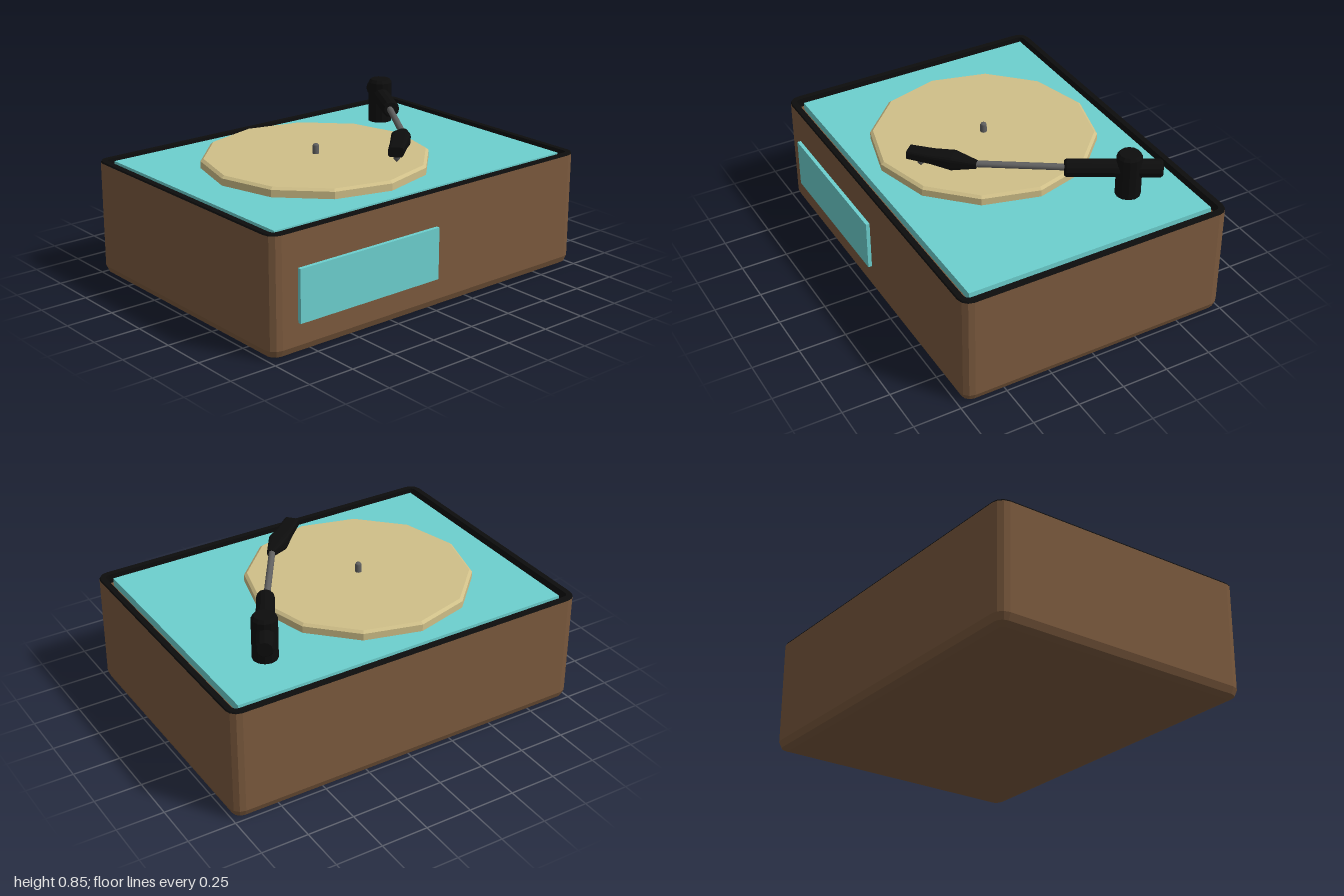
import * as THREE from 'three';

const mat = (name, color, flatShading = true) => {
  const m = new THREE.MeshStandardMaterial({ color, flatShading });
  m.name = name;
  return m;
};

// Rounded rectangle in the xz plane at height y, counterclockwise from above
function rectRing(hx, hz, r, y) {
  const pts = [];
  [[1, 1], [-1, 1], [-1, -1], [1, -1]].forEach(([sx, sy], c) => {
    for (let i = 0; i < 4; i++) {
      const a = (c + i / 3) * Math.PI / 2;
      pts.push([sx * (hx - r) + r * Math.cos(a), y, -(sy * (hz - r) + r * Math.sin(a))]);
    }
  });
  return pts;
}

// Skin stacked rings, optionally closing both ends
function loft(rings, caps = true) {
  const pos = [];
  const tri = (a, b, c) => pos.push(...a, ...b, ...c);
  const n = rings[0].length;
  for (let k = 0; k < rings.length - 1; k++) {
    for (let i = 0; i < n; i++) {
      const j = (i + 1) % n;
      tri(rings[k][i], rings[k][j], rings[k + 1][j]);
      tri(rings[k][i], rings[k + 1][j], rings[k + 1][i]);
    }
  }
  if (caps) {
    const lo = rings[0], hi = rings[rings.length - 1];
    for (let i = 1; i < n - 1; i++) {
      tri(lo[0], lo[i + 1], lo[i]);
      tri(hi[0], hi[i], hi[i + 1]);
    }
  }
  const g = new THREE.BufferGeometry();
  g.setAttribute('position', new THREE.Float32BufferAttribute(pos, 3));
  g.computeVertexNormals();
  return g;
}

const lathe = (points, sides) =>
  new THREE.LatheGeometry(points.map(([r, y]) => new THREE.Vector2(r, y)), sides);

export function createModel() {
  const model = new THREE.Group();
  model.name = 'turntable';
  const wood = mat('brown wood', 0x7a593d);
  const teal = mat('teal', 0x6ccfce);
  const cream = mat('cream', 0xcfbf88);
  const black = mat('black', 0x0d0d0d);
  const metal = mat('grey metal', 0x606060, false);

  const add = (name, geometry, material, x = 0, y = 0, z = 0) => {
    const m = new THREE.Mesh(geometry, material);
    m.name = name;
    m.position.set(x, y, z);
    model.add(m);
    return m;
  };

  // Case with softened edges and a shallow recess in the top
  const caseRing = ([inset, y]) => rectRing(1 - inset, 0.74 - inset, Math.max(0.06 - inset, 0.02), y);
  add('case', loft([[0.05, 0], [0.015, 0.015], [0, 0.05], [0, 0.612], [0.03, 0.612], [0.03, 0.57]].map(caseRing)),
    wood, 0, 0, -0.01);
  add('rim', loft([[0, 0.612], [0.004, 0.62], [0.034, 0.62], [0.036, 0.571]].map(caseRing), false),
    black, 0, 0, -0.01);

  // Deck plate and front panel
  add('deck', new THREE.BoxGeometry(1.86, 0.045, 1.35), teal, 0, 0.5905, -0.012);
  add('frontPanel', new THREE.BoxGeometry(0.86, 0.27, 0.03), teal, -0.42, 0.3, 0.735);

  // Twelve-sided platter and its spindle
  add('platter', lathe([[0, 0.605], [0.59, 0.605], [0.59, 0.65], [0.575, 0.662], [0, 0.662]], 12),
    cream, -0.147, 0, -0.012);
  add('spindle', lathe([[0.017, 0.65], [0.017, 0.703], [0.012, 0.712], [0, 0.712]], 12),
    metal, -0.147, 0, -0.012);

  // Pivot post
  add('pivotPost', lathe([[0.065, 0.6], [0.065, 0.833], [0.052, 0.85], [0, 0.85]], 12),
    black, 0.625, 0, -0.4);

  // Tone arm parts lie flat between two points given in x and z
  const armY = 0.76;
  const between = (name, material, [x0, z0], [x1, z1], makeGeometry) => {
    const dx = x1 - x0, dz = z1 - z0;
    const g = makeGeometry(Math.hypot(dx, dz)).rotateX(Math.PI / 2);
    add(name, g, material, x0, armY, z0).rotation.y = Math.atan2(dx, dz);
  };
  between('counterweight', black, [0.706, -0.545], [0.465, -0.125], (l) =>
    lathe([[0, 0], [0.038, 0], [0.046, 0.01], [0.046, l - 0.01], [0.038, l], [0, l]], 12));
  between('armTube', metal, [0.5, -0.19], [0.2, 0.27], (l) =>
    new THREE.CylinderGeometry(0.017, 0.017, l, 12).translate(0, l / 2, 0));
  between('headShell', black, [0.23, 0.235], [-0.035, 0.475], (l) =>
    loft([[0.02, 0.018, 0], [0.05, 0.04, 0.34], [0.043, 0.027, 0.65], [0.039, 0.025, 1]]
      .map(([w, h, t]) => rectRing(w, h, h * 0.6, t * l))));

  // Stylus under the head shell
  add('stylus', lathe([[0, 0.692], [0.017, 0.71], [0.017, 0.75]], 10), metal, 0.01, 0, 0.432);

  return model;
}
